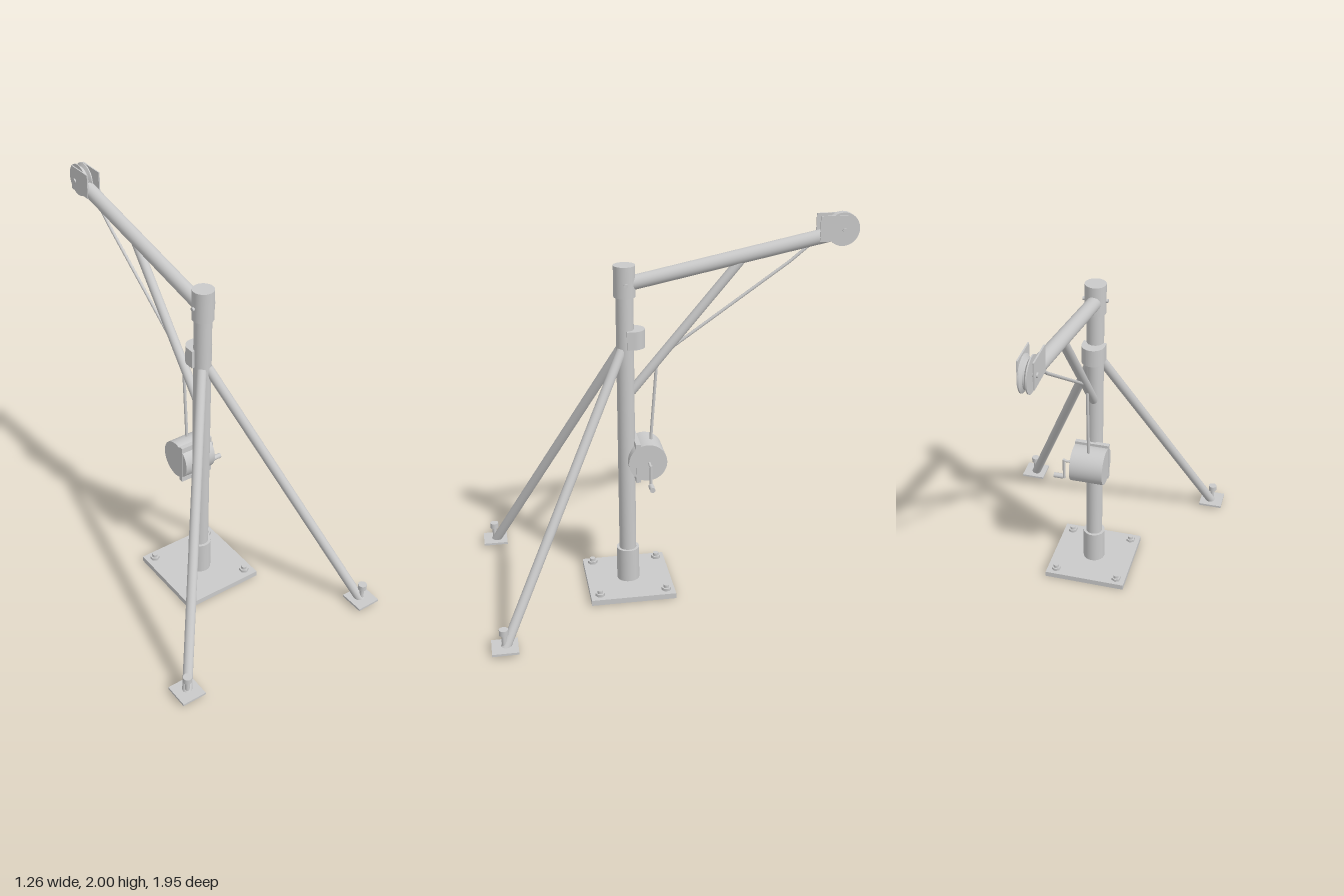
import * as THREE from 'three';

export function createModel() {
  const g = new THREE.Group();
  const steel = new THREE.MeshStandardMaterial({ color: 0xcacaca });
  steel.name = 'steel grey';
  const V = (x, y, z) => new THREE.Vector3(x, y, z);

  const add = (name, geo, x = 0, y = 0, z = 0) => {
    const m = new THREE.Mesh(geo, steel);
    m.name = name;
    m.position.set(x, y, z);
    g.add(m);
    return m;
  };
  const box = (name, w, h, d, x, y, z) => add(name, new THREE.BoxGeometry(w, h, d), x, y, z);
  // Round bar between two points
  const rod = (name, a, b, r, sides = 32) => {
    const dir = b.clone().sub(a);
    const m = add(name, new THREE.CylinderGeometry(r, r, dir.length(), sides));
    m.position.copy(a).add(b).multiplyScalar(0.5);
    m.quaternion.setFromUnitVectors(V(0, 1, 0), dir.normalize());
    return m;
  };
  const upright = (name, x, z, y0, y1, r, sides) => rod(name, V(x, y0, z), V(x, y1, z), r, sides);
  const across = (name, x0, x1, y, z, r, sides) => rod(name, V(x0, y, z), V(x1, y, z), r, sides);

  // Base plate with mast socket and anchor bolts
  const mz = 0.215;
  box('basePlate', 0.45, 0.03, 0.45, 0, 0.02, mz);
  upright('mastSocket', 0, mz, 0.03, 0.22, 0.06);
  for (const x of [-0.175, 0.175]) for (const z of [0.035, 0.39]) {
    upright('anchorNut', x, z, 0.035, 0.05, 0.026, 6);
    upright('anchorStud', x, z, 0.035, 0.066, 0.015, 20);
  }

  // Mast, cap and pivot pin
  upright('mast', 0, mz, 0.03, 1.7, 0.045);
  upright('mastCap', 0, mz, 1.62, 1.78, 0.055);
  across('capPin', -0.066, 0.066, 1.69, mz, 0.01, 16);

  // Half-round bracket behind the mast
  const half = new THREE.Shape();
  half.moveTo(0.06, 0);
  half.lineTo(0.06, 0.038);
  half.absarc(0, 0.038, 0.06, 0, Math.PI, false);
  half.lineTo(-0.06, 0);
  half.closePath();
  const bracket = add('mastBracket',
    new THREE.ExtrudeGeometry(half, { depth: 0.095, bevelEnabled: false, curveSegments: 24 }), 0, 1.355, 0.212);
  bracket.rotation.x = -Math.PI / 2;

  // Boom and its diagonal brace
  rod('boom', V(0, 1.685, 0.19), V(0, 1.887, -0.82), 0.037);
  rod('boomBrace', V(0, 1.115, 0.185), V(0, 1.775, -0.37), 0.024);

  // Boom head: cheek plates, axle and grooved sheave
  for (const s of [-1, 1]) {
    box('cheekPlate', 0.007, 0.13, 0.16, s * 0.035, 1.925, -0.845);
    across('axleNut', s * 0.037, s * 0.046, 1.915, -0.89, 0.012, 16);
  }
  across('sheaveAxle', -0.04, 0.04, 1.915, -0.89, 0.01, 16);
  const groove = [[0, -0.02], [0.085, -0.02], [0.085, -0.014], [0.068, -0.004],
    [0.068, 0.004], [0.085, 0.014], [0.085, 0.02], [0, 0.02]];
  // Separate bands keep the rims crisp
  for (let i = 0; i < groove.length - 1; i++) {
    const band = groove.slice(i, i + 2).map(p => new THREE.Vector2(...p));
    add('sheave', new THREE.LatheGeometry(band, 40), 0, 1.915, -0.89).rotation.z = Math.PI / 2;
  }

  // Winch drum, mounting plate and crank
  across('winchDrum', -0.09, 0.09, 0.745, 0.115, 0.1, 48);
  box('winchPlate', 0.185, 0.215, 0.025, 0, 0.745, 0.166);
  across('crankShaft', 0.09, 0.148, 0.745, 0.11, 0.007, 16);
  rod('crankArm', V(0.143, 0.753, 0.11), V(0.143, 0.632, 0.11), 0.008, 16);
  across('crankHandle', 0.147, 0.2, 0.64, 0.11, 0.014, 20);

  // Hoist cable from winch up to the boom head
  const run = [V(0, 0.8, 0.09), V(0, 1.255, 0.055), V(0, 1.33, -0.01), V(0, 1.76, -0.625), V(0, 1.87, -0.76)];
  for (let i = 0; i < run.length - 1; i++) rod('hoistCable', run[i], run[i + 1], 0.008, 12);

  // Two splayed legs with foot pads and bolts
  for (const s of [-1, 1]) {
    rod('supportLeg', V(s * 0.018, 1.345, 0.235), V(s * 0.563, 0.022, 0.908), 0.025);
    box('footPad', 0.132, 0.012, 0.132, s * 0.565, 0.027, 0.91);
    upright('footBolt', s * 0.565, 0.913, 0.02, 0.105, 0.012, 20);
    upright('footBoltHead', s * 0.565, 0.913, 0.1, 0.13, 0.023, 24);
  }
  return g;
}
